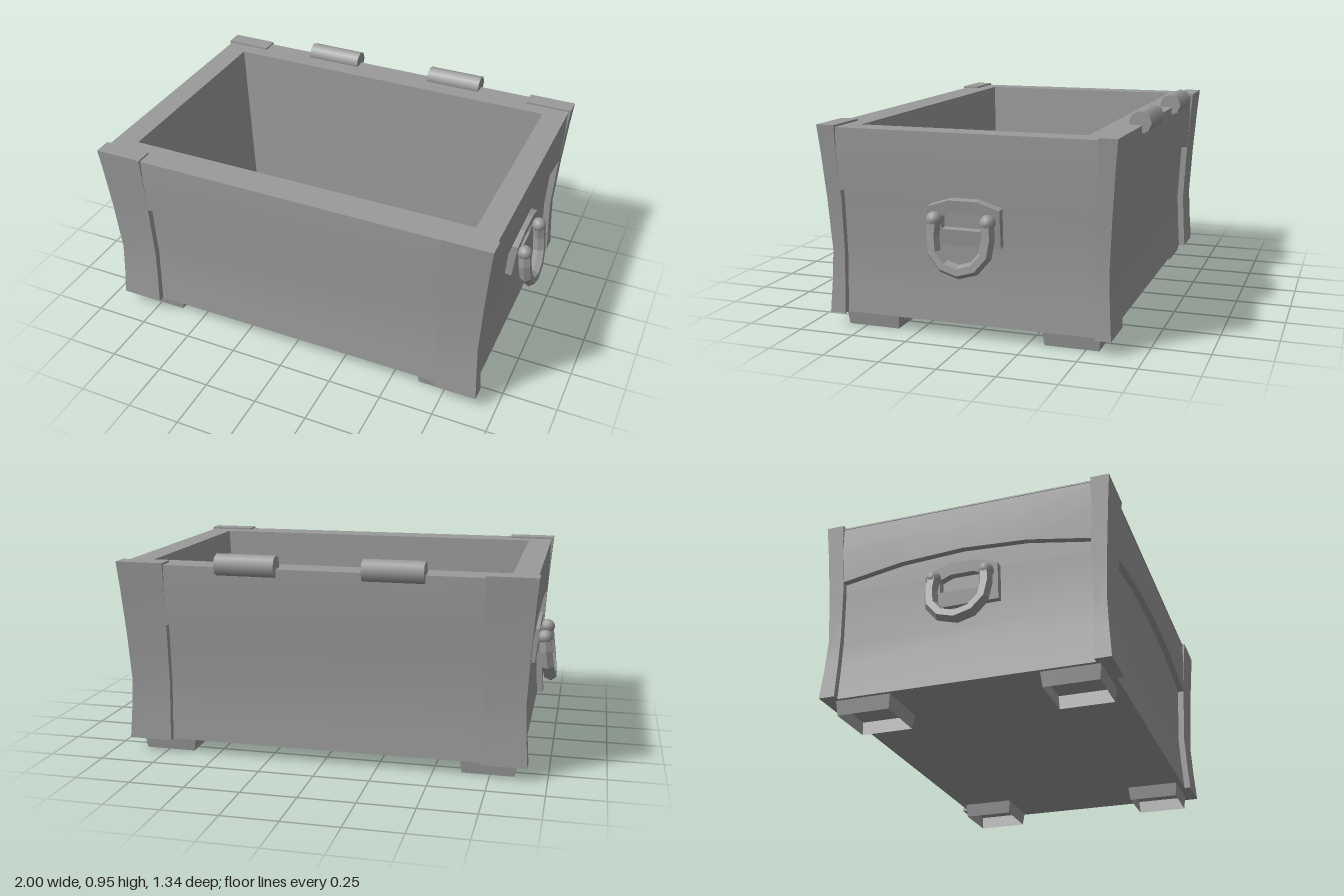
import * as THREE from 'three';
import { toCreasedNormals } from 'three/addons/utils/BufferGeometryUtils.js';

const COLOR = 0x9a9a9a, CREASE = 0.5;
const smooth = new THREE.MeshStandardMaterial({ color: COLOR });
const flat = new THREE.MeshStandardMaterial({ color: COLOR, flatShading: true });
const open = new THREE.MeshStandardMaterial({ color: COLOR, flatShading: true, side: THREE.DoubleSide });

// Outer half width of the chest at each height; the half depth is DEPTH less
const LEVELS = [0.064, 0.2, 0.34, 0.57, 0.78, 0.895];
const WIDTHS = [0.914, 0.905, 0.899, 0.911, 0.926, 0.936];
const DEPTH = 0.281, RECESS = 0.03;
const LIP = 0.879, RIM = 0.886, RIM_X = 0.926, BAND_X = 0.923;
const POST_X = 0.715, POST_Z = 0.562, POST_TOP_Z = 0.574;

function halfWidth(y) {
  let i = 0;
  while (i < LEVELS.length - 2 && y > LEVELS[i + 1]) i++;
  const t = (y - LEVELS[i]) / (LEVELS[i + 1] - LEVELS[i]);
  return THREE.MathUtils.lerp(WIDTHS[i], WIDTHS[i + 1], t);
}

function add(parent, name, geometry, material = smooth) {
  const mesh = new THREE.Mesh(geometry, material);
  mesh.name = name;
  parent.add(mesh);
  return mesh;
}

// Move every vertex by a rule, keeping the box edges sharp
function bend(geometry, rule) {
  const p = geometry.attributes.position;
  for (let i = 0; i < p.count; i++) p.setXYZ(i, ...rule(p.getX(i), p.getY(i), p.getZ(i)));
  return toCreasedNormals(geometry, CREASE);
}

// Skin a stack of rectangles given as [halfX, halfZ, y]
function loftRectangles(rings) {
  const pos = [], index = [];
  for (const [x, z, y] of rings) pos.push(x, y, z, x, y, -z, -x, y, -z, -x, y, z);
  for (let r = 0; r < rings.length - 1; r++) {
    for (let k = 0; k < 4; k++) {
      const a = r * 4 + k, b = r * 4 + (k + 1) % 4;
      index.push(a, b, b + 4, a, b + 4, a + 4);
    }
  }
  const g = new THREE.BufferGeometry();
  g.setAttribute('position', new THREE.Float32BufferAttribute(pos, 3));
  g.setIndex(index);
  return toCreasedNormals(g, CREASE);
}

// Corner post following the flared profile
function postGeometry(sx, sz) {
  const rows = LEVELS.length - 1;
  return bend(new THREE.BoxGeometry(1, 1, 1, 1, rows, 1), (x, y, z) => {
    const i = Math.round((y + 0.5) * rows), w = WIDTHS[i];
    const innerZ = LEVELS[i] > 0.7 ? POST_TOP_Z : POST_Z;
    return [sx * (x * sx > 0 ? w : POST_X), LEVELS[i], sz * (z * sz > 0 ? w - DEPTH : innerZ)];
  });
}

// Band under the rim with an arched lower edge, facing +z
function bandGeometry(halfLength, inset) {
  return bend(new THREE.BoxGeometry(2, 2, 1, 4, 2, 1), (x, y, z) => {
    const h = y < -0.5 ? 0.675 - 0.064 * x * x : y < 0.5 ? 0.78 : LIP;
    const out = Math.min(halfWidth(h), BAND_X) - inset;
    return [x * halfLength, h, z > 0 ? out : out - RECESS];
  });
}

function makeHandle() {
  const handle = new THREE.Group();
  // Back plate with an arched opening, leaning with the wall
  const shape = new THREE.Shape([[-0.16, 0.414], [0.16, 0.414], [0.16, 0.577], [0.063, 0.609],
    [-0.063, 0.609], [-0.16, 0.577]].map(p => new THREE.Vector2(...p)));
  shape.holes.push(new THREE.Path([[-0.1, 0.482], [-0.1, 0.537], [-0.052, 0.557], [0.052, 0.557],
    [0.1, 0.537], [0.1, 0.482]].map(p => new THREE.Vector2(...p))));
  const plate = new THREE.ExtrudeGeometry(shape, { depth: 0.045, bevelEnabled: false });
  plate.translate(0, -0.5, 0).rotateY(Math.PI / 2).rotateZ(-0.1).translate(0.867, 0.5, 0);
  add(handle, 'handlePlate', plate);
  // Hanging ring
  const half = [[0.945, 0.53, 0.116], [0.954, 0.447, 0.122], [0.963, 0.38, 0.108], [0.969, 0.335, 0.064]];
  const points = [...half, [0.971, 0.317, 0], ...half.map(([x, y, z]) => [x, y, -z]).reverse()];
  const curve = new THREE.CatmullRomCurve3(points.map(p => new THREE.Vector3(...p)));
  add(handle, 'handleRing', new THREE.TubeGeometry(curve, 8, 0.03, 6), flat);
  // Pivot balls
  for (const s of [-1, 1]) {
    add(handle, 'handleBall', new THREE.SphereGeometry(0.034, 12, 8)).position.set(0.944, 0.526, s * 0.118);
  }
  return handle;
}

export function createModel() {
  const model = new THREE.Group();
  model.name = 'openChest';
  const body = new THREE.Group();
  body.name = 'body';
  body.position.z = 0.014;
  model.add(body);

  // Hollow box: underside, recessed panels, rim lip, tapered inside walls, floor
  const panel = y => {
    const w = Math.min(halfWidth(y), BAND_X) - RECESS;
    return [w, w - DEPTH, y];
  };
  add(body, 'box', loftRectangles([[0, 0, LEVELS[0]], ...[...LEVELS.slice(0, 5), LIP].map(panel),
    [RIM_X, RIM_X - DEPTH, LIP], [RIM_X, RIM_X - DEPTH, RIM],
    [0.815, 0.505, RIM], [0.765, 0.48, 0.1], [0, 0, 0.1]]));

  // Corner posts and hollow feet
  for (const sx of [-1, 1]) {
    for (const sz of [-1, 1]) {
      add(body, 'cornerPost', postGeometry(sx, sz));
      const foot = loftRectangles([[0.116, 0.118, 0], [0.126, 0.125, 0.065]]);
      add(body, 'foot', foot, open).position.set(sx * 0.742, 0, sz * 0.452);
    }
  }

  // Arched bands and side handles
  for (const turn of [0, 1]) {
    add(body, 'longBand', bandGeometry(POST_X, DEPTH)).rotation.y = turn * Math.PI;
    add(body, 'shortBand', bandGeometry(POST_TOP_Z, 0)).rotation.y = Math.PI / 2 + turn * Math.PI;
    const handle = makeHandle();
    handle.name = turn ? 'rightHandle' : 'leftHandle';
    handle.rotation.y = turn * Math.PI;
    body.add(handle);
  }

  // Hinge barrels along the back rim
  for (const s of [-1, 1]) {
    const hinge = add(model, 'hinge', new THREE.CylinderGeometry(0.05, 0.05, 0.27, 8));
    hinge.rotation.z = Math.PI / 2;
    hinge.position.set(s * 0.328, 0.896, -0.621);
  }
  return model;
}
